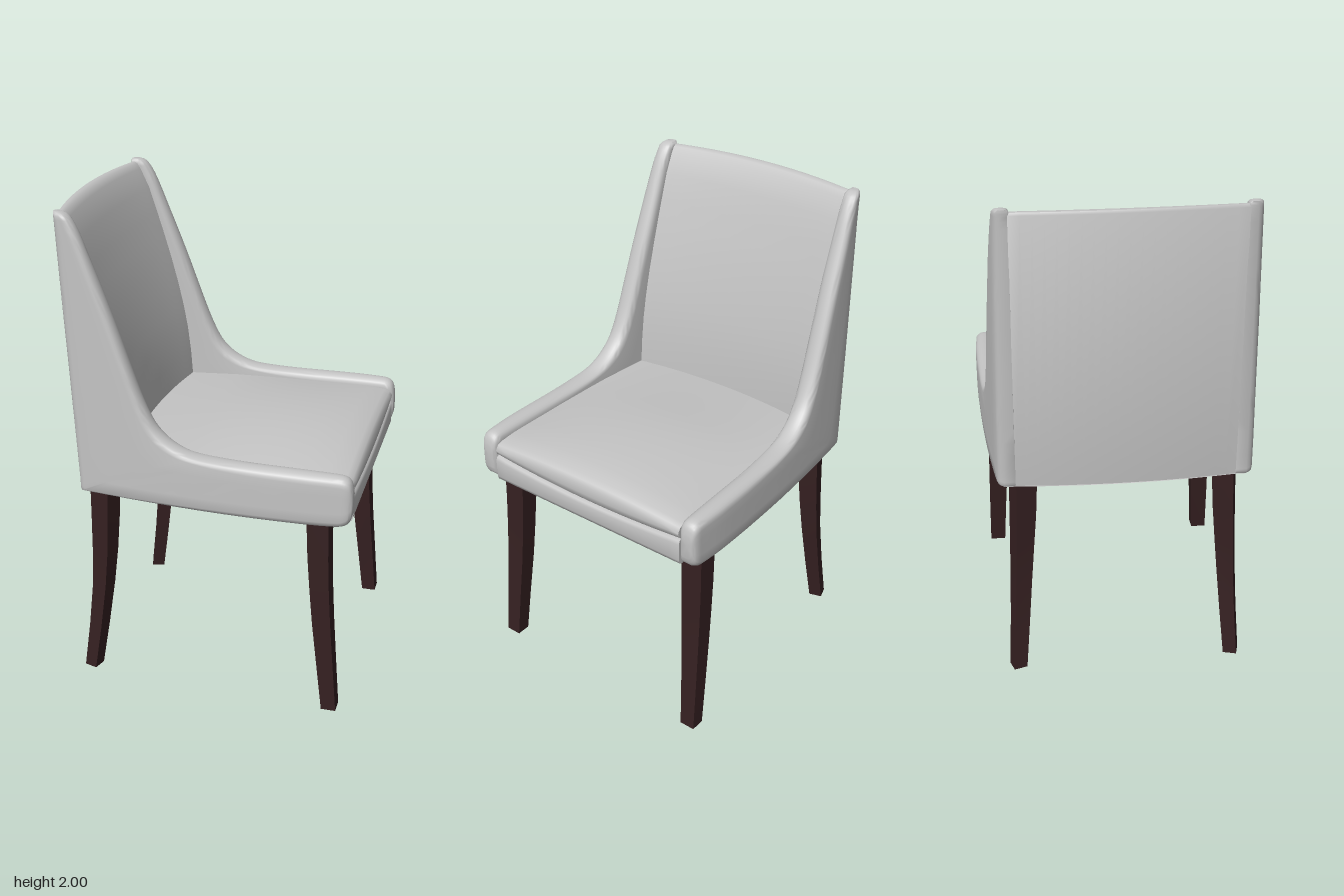
import * as THREE from 'three';
import { toCreasedNormals } from 'three/addons/utils/BufferGeometryUtils.js';

// Closed solid through a list of rings (each a list of [x, y, z]), capped at both ends
function loft(rings) {
  const n = rings[0].length, pos = [], idx = [];
  rings.forEach(r => r.forEach(p => pos.push(...p)));
  for (let i = 0; i < rings.length - 1; i++) {
    for (let j = 0; j < n; j++) {
      const a = i * n + j, b = i * n + (j + 1) % n;
      idx.push(a, b, b + n, a, b + n, a + n);
    }
  }
  [0, rings.length - 1].forEach(i => {
    const c = pos.length / 3;
    pos.push(...[0, 1, 2].map(k => rings[i].reduce((s, p) => s + p[k], 0) / n));
    for (let j = 0; j < n; j++) {
      const a = i * n + j, b = i * n + (j + 1) % n;
      if (i === 0) idx.push(b, a, c); else idx.push(a, b, c);
    }
  });
  // Turn the faces outward if the enclosed volume is negative
  const v = i => new THREE.Vector3().fromArray(pos, i * 3);
  let volume = 0;
  for (let i = 0; i < idx.length; i += 3) volume += v(idx[i]).dot(v(idx[i + 1]).cross(v(idx[i + 2])));
  if (volume < 0) idx.reverse();
  const g = new THREE.BufferGeometry();
  g.setAttribute('position', new THREE.Float32BufferAttribute(pos, 3));
  g.setIndex(idx);
  return toCreasedNormals(g, 0.85);
}

// Loft across the width, ring(z) giving the [x, y] section at z
function across(halfWidth, ring, steps = 20) {
  const rings = [];
  for (let i = 0; i <= steps; i++) {
    const z = halfWidth * (2 * i / steps - 1);
    rings.push(ring(z).map(([x, y]) => [x, y, z]));
  }
  return loft(rings);
}

const bulge = (z, w) => Math.max(0, 1 - (z / w) ** 2);

// Piecewise function z(x) through a few points
function through(points) {
  return x => {
    let i = 0;
    while (i < points.length - 2 && x > points[i + 1][0]) i++;
    const [x0, z0] = points[i], [x1, z1] = points[i + 1];
    return z0 + (z1 - z0) * THREE.MathUtils.clamp((x - x0) / (x1 - x0), 0, 1);
  };
}
const outerZ = through([[-0.58, 0.487], [-0.52, 0.502], [-0.45, 0.513], [-0.3, 0.528], [-0.15, 0.54], [0.05, 0.551], [0.3, 0.559], [0.45, 0.56], [0.61, 0.552]]);
const innerZ = through([[-0.58, 0.43], [-0.4, 0.432], [-0.25, 0.442], [-0.05, 0.457], [0.2, 0.467], [0.61, 0.475]]);

// Side panel stations: rear/bottom edge x, y; front/top edge x, y; thickness scale
const STATIONS = [
  [-0.574, 2.0, -0.542, 2.0, 0.6], [-0.573, 1.985, -0.512, 1.985, 1], [-0.57, 1.93, -0.477, 1.93, 1],
  [-0.563, 1.8, -0.425, 1.8, 1], [-0.552, 1.6, -0.348, 1.6, 1], [-0.54, 1.4, -0.277, 1.4, 1],
  [-0.53, 1.22, -0.232, 1.28, 1], [-0.52, 1.05, -0.188, 1.19, 1], [-0.512, 0.9, -0.14, 1.137, 1],
  [-0.508, 0.86, -0.085, 1.102, 1], [-0.47, 0.857, -0.02, 1.08, 1], [-0.2, 0.852, 0.08, 1.072, 1],
  [0.1, 0.848, 0.22, 1.07, 1], [0.35, 0.85, 0.4, 1.07, 1], [0.53, 0.854, 0.53, 1.068, 1],
  [0.578, 0.862, 0.578, 1.063, 1], [0.6, 0.88, 0.6, 1.045, 0.85], [0.61, 0.91, 0.61, 1.01, 0.6],
];

function sidePanel(side) {
  const spline = (a, b) => new THREE.SplineCurve(STATIONS.map(s => new THREE.Vector2(s[a], s[b])));
  const rear = spline(0, 1), front = spline(2, 3), scale = spline(4, 4);
  const rings = [], count = (STATIONS.length - 1) * 3;
  for (let i = 0; i <= count; i++) {
    const t = i / count, B = rear.getPoint(t), F = front.getPoint(t);
    const k = Math.min(1, scale.getPoint(t).x), L = B.distanceTo(F);
    const r = Math.min(0.036, L * 0.45), e = Math.min(0.028, L * 0.25);
    // Section: [distance from the rear edge, 0 inner to 1 outer]
    const section = [[0, 0.1], [0, 0.68], [0.25 * e, 0.86], [0.55 * e, 0.95], [e, 1]];
    for (const f of [0.25, 0.5, 0.75]) section.push([e + (L - r - e) * f, 1]);
    for (let j = 0; j <= 12; j++) {
      const a = Math.PI * j / 12;
      section.push([L - r + r * Math.sin(a) ** 0.75, 0.5 + 0.5 * Math.cos(a)]);
    }
    for (const f of [0.75, 0.5, 0.25]) section.push([e + (L - r - e) * f, 0]);
    section.push([0.3 * e, 0]);
    rings.push(section.map(([d, s]) => {
      const p = B.clone().lerp(F, d / L), zi = innerZ(p.x);
      const zo = outerZ(p.x) - 0.007 * Math.max(0, p.y - 1);
      return [p.x, p.y, side * (zi + (zo - zi) * (0.5 + (s - 0.5) * k))];
    }));
  }
  return loft(rings);
}

// Curved square leg from levels of [y, x min, x max, z min, z max];
// turn moves the corners along the box edges, which rotates the square inside it
function leg(levels, side, turn) {
  const corners = [[turn, 0], [1, turn], [1 - turn, 1], [0, 1 - turn]];
  return loft(levels.map(([y, x0, x1, z0, z1]) =>
    corners.map(([u, v]) => [x0 + (x1 - x0) * u, y, side * (z0 + (z1 - z0) * v)])));
}
const FRONT_LEG = [
  [0, 0.512, 0.572, 0.46, 0.526], [0.2, 0.488, 0.555, 0.45, 0.524], [0.4, 0.464, 0.538, 0.438, 0.521],
  [0.55, 0.45, 0.528, 0.431, 0.52], [0.7, 0.438, 0.521, 0.425, 0.519], [0.87, 0.43, 0.518, 0.42, 0.518],
];
const REAR_LEG = [
  [0, -0.536, -0.467, 0.415, 0.485], [0.2, -0.512, -0.437, 0.398, 0.475], [0.4, -0.493, -0.41, 0.382, 0.468],
  [0.55, -0.489, -0.395, 0.37, 0.465], [0.7, -0.489, -0.386, 0.358, 0.462], [0.87, -0.489, -0.38, 0.35, 0.46],
];

export function createModel() {
  const chair = new THREE.Group();
  chair.name = 'diningChair';
  const fabric = new THREE.MeshStandardMaterial({ color: 0xc4c4c4 });
  fabric.name = 'light grey upholstery';
  const wood = new THREE.MeshStandardMaterial({ color: 0x352021 });
  wood.name = 'dark brown wood';
  const add = (name, geometry, material) => {
    const mesh = new THREE.Mesh(geometry, material);
    mesh.name = name;
    chair.add(mesh);
  };

  // Backrest, bowed toward the rear, its front face swelling forward at the waist
  add('backrest', across(0.437, z => {
    const b = bulge(z, 0.43), top = 1.99 + 0.008 * b;
    return [
      [-0.51 - 0.025 * b, 0.86], [-0.573 - 0.039 * b, top - 0.012], [-0.568 - 0.039 * b, top - 0.002],
      [-0.558 - 0.035 * b, top], [-0.545 - 0.03 * b, top - 0.007], [-0.531 - 0.028 * b, top - 0.028],
      [-0.493 - 0.028 * b, 1.88], [-0.458 - 0.03 * b, 1.77], [-0.43 - 0.03 * b, 1.68], [-0.398 - 0.032 * b, 1.57],
      [-0.37 - 0.034 * b, 1.46], [-0.346 - 0.035 * b, 1.35], [-0.329 - 0.036 * b, 1.25],
      [-0.316 - 0.037 * b, 1.14], [-0.308 - 0.038 * b, 1.03], [-0.3 - 0.038 * b, 0.86],
    ];
  }), fabric);

  // Seat cushion, crowned both ways
  add('seatCushion', across(0.472, z => {
    const c = bulge(z, 0.472), top = x => 1.036 + (0.043 - 0.2 * (x - 0.25) ** 2) * c;
    return [
      [-0.4, 0.9], [0.57, 0.9], [0.59, 0.976 - 0.025 * c], [0.601, 0.985 - 0.025 * c], [0.605, 1.0 - 0.015 * c],
      [0.603, top(0.6) - 0.03], [0.593, top(0.6) - 0.014], [0.57, top(0.57) - 0.006],
      ...[0.5, 0.4, 0.3, 0.2, 0.1, 0, -0.1].map(x => [x, top(x)]), [-0.4, 1.03],
    ];
  }), fabric);

  // Seat base with the seam under the cushion
  add('seatBase', across(0.475, z => {
    const b = bulge(z, 0.43), c = bulge(z, 0.475);
    return [
      [-0.507 - 0.025 * b, 0.855], [0.1, 0.848], [0.585, 0.853], [0.599, 0.859], [0.605, 0.875],
      [0.605, 0.95 - 0.02 * c], [0.601, 0.965 - 0.024 * c], [0.588, 0.973 - 0.025 * c], [-0.49, 0.94],
    ];
  }), fabric);

  for (const [label, side] of [['right', 1], ['left', -1]]) {
    add(label + 'SidePanel', sidePanel(side), fabric);
    add(label + 'FrontLeg', leg(FRONT_LEG, side, 0), wood);
    add(label + 'RearLeg', leg(REAR_LEG, side, 0.235), wood);
  }
  return chair;
}
